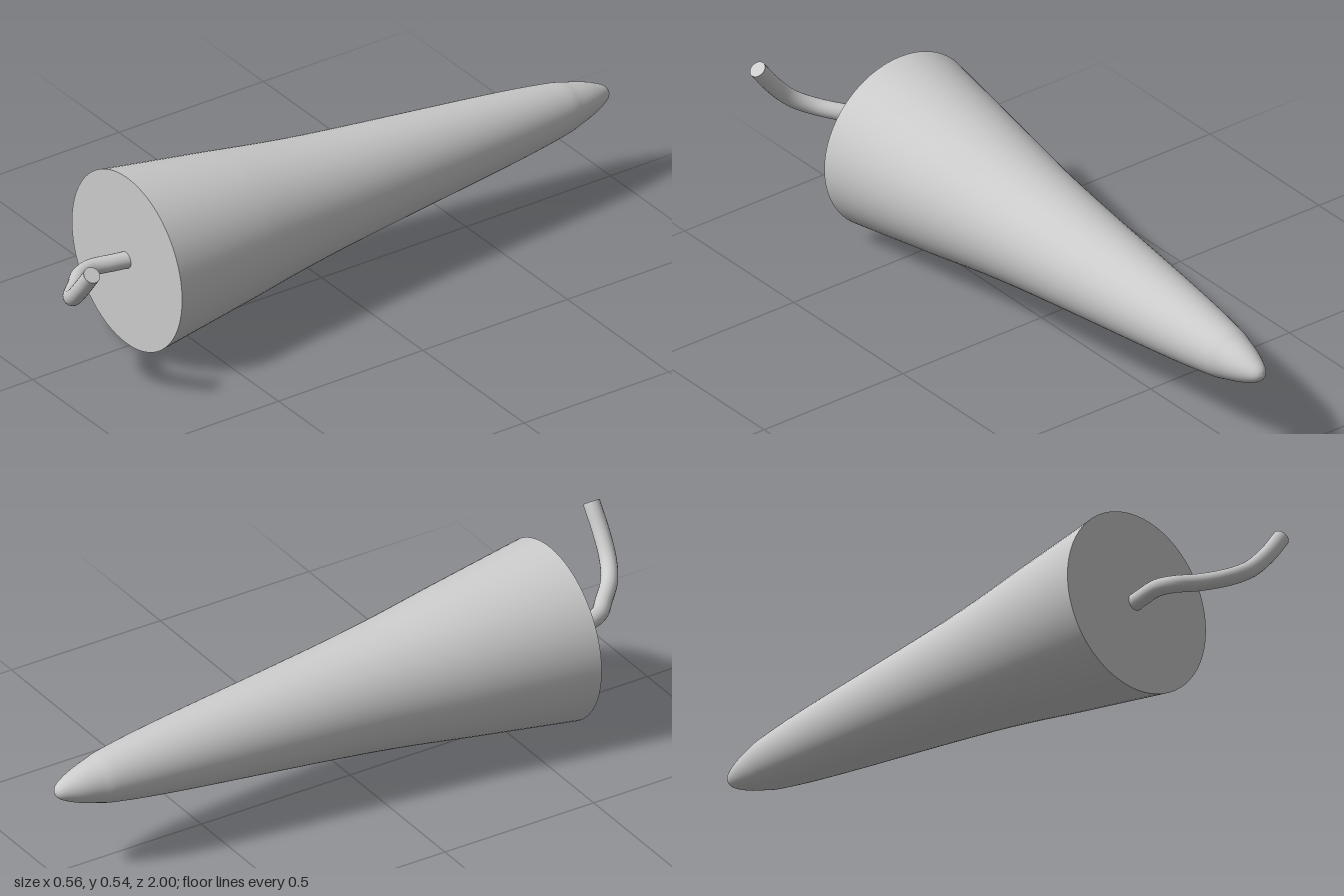
import * as THREE from 'three';

export function createModel() {
  const group = new THREE.Group();
  const material = new THREE.MeshStandardMaterial({ color: 0xcccccc });
  const add = (name, geometry) => {
    const mesh = new THREE.Mesh(geometry, material);
    mesh.name = name;
    group.add(mesh);
    return mesh;
  };
  const cx = -0.012, cy = 0.273, baseZ = 0.665, baseR = 0.272;

  // Tapered body: straight flank easing into a rounded tip
  const tip = new THREE.SplineCurve([
    [0, -1], [0.016, -0.993], [0.03, -0.974], [0.049, -0.93], [0.065, -0.875],
    [0.08, -0.81], [0.108, -0.6], [0.173, 0], [0.222, 0.33],
  ].map(([r, z]) => new THREE.Vector2(r, z)));
  const profile = tip.getPoints(48);
  profile.forEach((p) => { p.x = Math.max(p.x, 0); });
  profile.push(new THREE.Vector2(baseR, baseZ));
  const body = add('body', new THREE.LatheGeometry(profile, 64).rotateX(Math.PI / 2));
  body.position.set(cx, cy, 0);

  // Flat base disc
  const base = add('base', new THREE.CircleGeometry(baseR, 64));
  base.position.set(cx, cy, baseZ);

  // Curved cord leaving the base and bending sideways and up
  const path = new THREE.CatmullRomCurve3([
    [-0.012, 0.273, 0.64], [-0.025, 0.273, 0.7], [-0.037, 0.274, 0.775],
    [-0.018, 0.275, 0.825], [0.03, 0.28, 0.872], [0.092, 0.297, 0.93],
    [0.146, 0.328, 0.96], [0.2, 0.383, 0.973], [0.257, 0.457, 0.975],
  ].map((p) => new THREE.Vector3(...p)));
  const cordR = 0.025;
  add('cord', new THREE.TubeGeometry(path, 64, cordR, 20));

  // Flat end of the cord
  const cap = add('cordEnd', new THREE.CircleGeometry(cordR, 20));
  cap.position.copy(path.getPoint(1));
  cap.quaternion.setFromUnitVectors(new THREE.Vector3(0, 0, 1), path.getTangent(1));

  return group;
}
